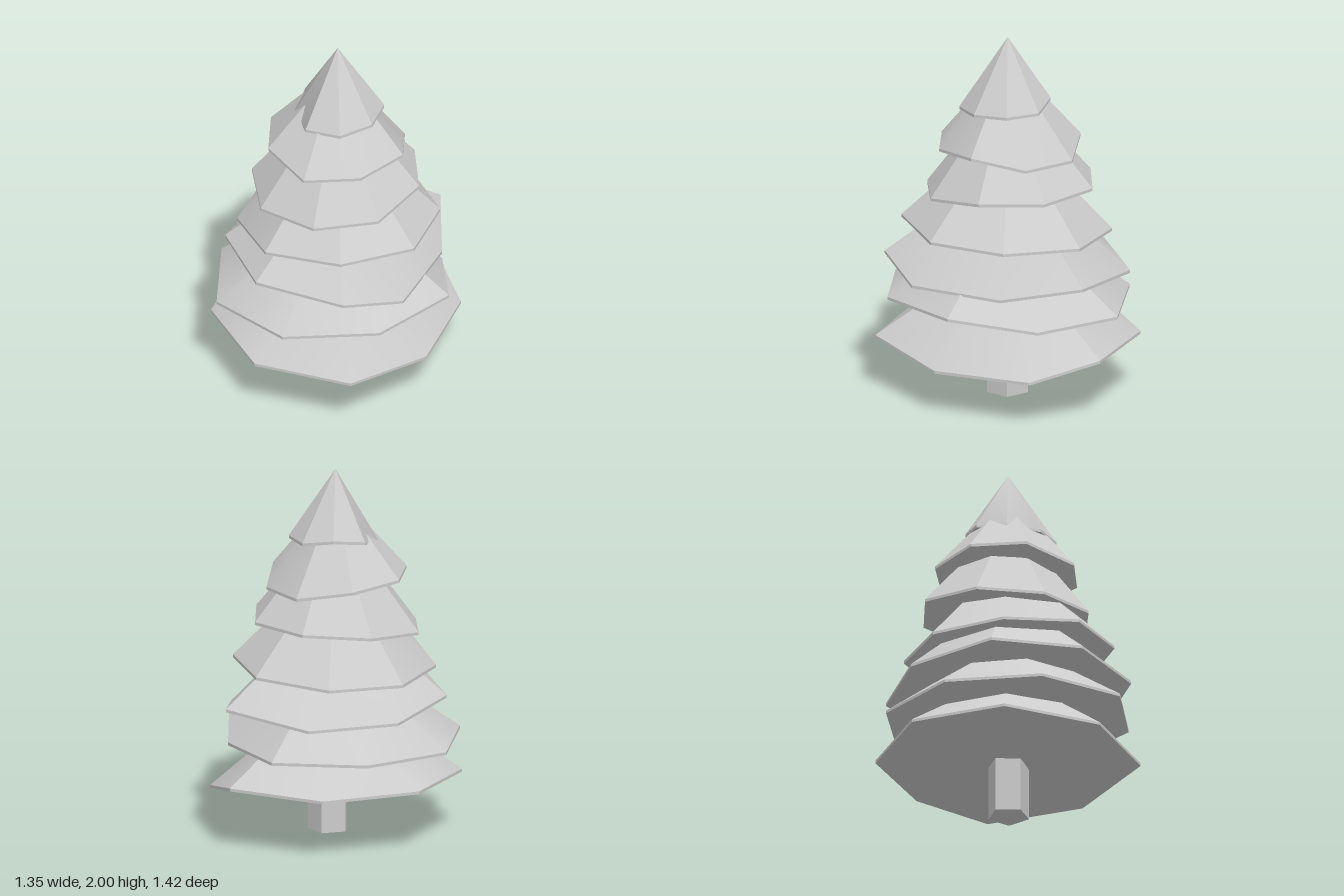
import * as THREE from 'three';
import { toCreasedNormals } from 'three/addons/utils/BufferGeometryUtils.js';

const SIDES = 8;
const LIP = 0.008; // half the thickness of a tier's rim

// Foliage tiers, bottom to top: uneven eight-cornered cones.
// turn and nudge are degrees around the trunk; radii and heights go corner by corner.
const TIERS = [
  { apex: 0.82, turn: 0, nudge: [-11, -5, -3, -2, 0, 2, 3, 2],
    radii: [0.68, 0.6, 0.71, 0.69, 0.68, 0.69, 0.715, 0.745],
    heights: [0.26, 0.25, 0.3, 0.31, 0.33, 0.34, 0.335, 0.345] },
  { apex: 1.03, turn: 28,
    radii: [0.66, 0.67, 0.69, 0.69, 0.69, 0.68, 0.675, 0.595],
    heights: [0.59, 0.575, 0.545, 0.515, 0.51, 0.52, 0.515, 0.51] },
  { apex: 1.28, turn: 3, nudge: [0, 9, -3, 0, 4, 7, 7, 6],
    radii: [0.56, 0.605, 0.66, 0.615, 0.605, 0.625, 0.67, 0.705],
    heights: [0.69, 0.69, 0.77, 0.77, 0.76, 0.72, 0.71, 0.76] },
  { apex: 1.52, turn: 1,
    radii: [0.55, 0.565, 0.57, 0.565, 0.54, 0.545, 0.56, 0.57],
    heights: [0.95, 0.96, 0.975, 0.95, 0.91, 0.9, 0.91, 0.935] },
  { apex: 1.75, turn: 19,
    radii: [0.455, 0.455, 0.46, 0.47, 0.48, 0.49, 0.485, 0.47],
    heights: [1.19, 1.14, 1.12, 1.11, 1.13, 1.17, 1.19, 1.19] },
  { apex: 1.88, turn: 29,
    radii: [0.39, 0.38, 0.41, 0.393, 0.4, 0.405, 0.4, 0.38],
    heights: [1.42, 1.39, 1.38, 1.43, 1.43, 1.41, 1.36, 1.36] },
  { apex: 2, turn: 0,
    radii: [0.25, 0.25, 0.26, 0.255, 0.23, 0.235, 0.23, 0.24],
    heights: [1.62, 1.61, 1.595, 1.59, 1.6, 1.63, 1.65, 1.62] },
];

// Sloping top, thin rim and closed underside of one tier
function tierGeometry({ apex, turn, nudge, radii, heights }) {
  const ring = (offset) => radii.map((r, i) => {
    const a = THREE.MathUtils.degToRad(turn + (i * 360) / SIDES + (nudge ? nudge[i] : 0));
    return [r * Math.cos(a), heights[i] + offset, r * Math.sin(a)];
  });
  const top = ring(LIP);
  const low = ring(-LIP);
  const tip = [0, apex, 0];
  const base = [0, heights.reduce((s, h) => s + h, 0) / SIDES - LIP, 0];

  const corners = [];
  for (let i = 0; i < SIDES; i++) {
    const j = (i + 1) % SIDES;
    corners.push(tip, top[j], top[i]);
    corners.push(top[i], top[j], low[j], top[i], low[j], low[i]);
    corners.push(base, low[i], low[j]);
  }
  const geometry = new THREE.BufferGeometry();
  geometry.setAttribute('position', new THREE.Float32BufferAttribute(corners.flat(), 3));
  return toCreasedNormals(geometry, Math.PI / 6);
}

export function createModel() {
  const tree = new THREE.Group();
  tree.name = 'tree';
  const material = new THREE.MeshStandardMaterial({ color: 0xcccccc });

  // Five-sided trunk, a little off centre
  const trunkMaterial = material.clone();
  trunkMaterial.flatShading = true;
  const trunk = new THREE.Mesh(
    new THREE.CylinderGeometry(0.115, 0.115, 0.4, 5).rotateY(Math.PI / 2),
    trunkMaterial
  );
  trunk.name = 'trunk';
  trunk.position.set(0.035, 0.2, 0);
  tree.add(trunk);

  // Stacked foliage
  const foliage = new THREE.Group();
  foliage.name = 'foliage';
  TIERS.forEach((tier, i) => {
    const mesh = new THREE.Mesh(tierGeometry(tier), material);
    mesh.name = `foliageTier${i + 1}`;
    foliage.add(mesh);
  });
  tree.add(foliage);
  return tree;
}
